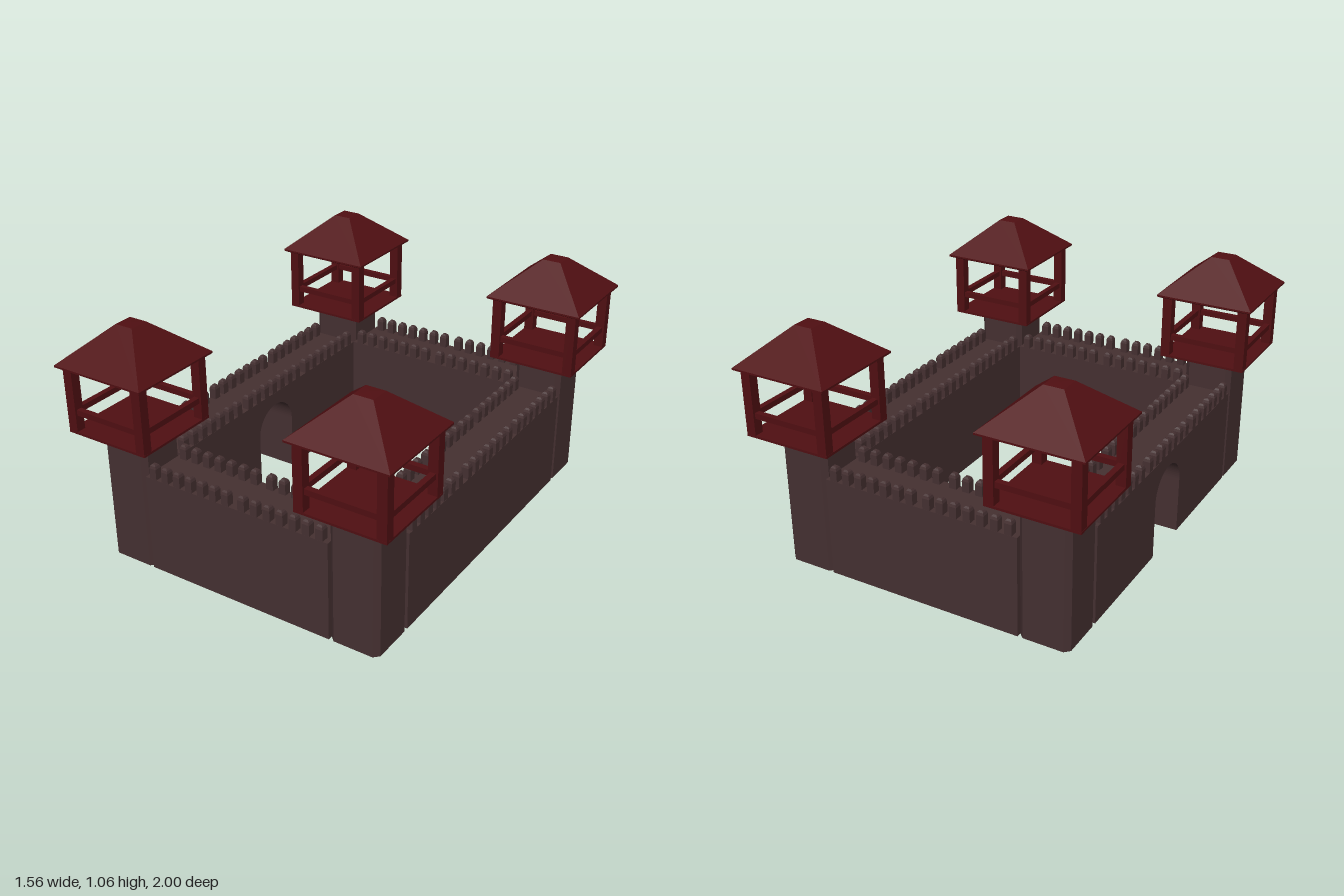
import * as THREE from 'three';
import { mergeGeometries } from 'three/addons/utils/BufferGeometryUtils.js';

const stone = new THREE.MeshStandardMaterial({ color: 0x453031, flatShading: true });
const redWood = new THREE.MeshStandardMaterial({ color: 0x500f12, flatShading: true });

const TX = 0.556, TZ = 0.778; // tower centres
const HALF = 0.111;           // half thickness of towers and walls
const WALL_H = 0.445, TOWER_H = 0.575;

function add(parent, name, geometry, material, x = 0, y = 0, z = 0) {
  const mesh = new THREE.Mesh(geometry, material);
  mesh.name = name;
  mesh.position.set(x, y, z);
  parent.add(mesh);
  return mesh;
}

// Square-plan solid from a profile of [half width, height] pairs
function squareSolid(profile) {
  const points = profile.map(([h, y]) => new THREE.Vector2(h * Math.SQRT2, y));
  return new THREE.LatheGeometry(points, 4, Math.PI / 4);
}

// Square shaft with chamfered vertical edges
function towerShaft() {
  const a = HALF, b = HALF - 0.022;
  const outline = [[a, -b], [a, b], [b, a], [-b, a], [-a, b], [-a, -b], [-b, -a], [b, -a]];
  const shape = new THREE.Shape(outline.map(([x, y]) => new THREE.Vector2(x, y)));
  return new THREE.ExtrudeGeometry(shape, { depth: TOWER_H, bevelEnabled: false }).rotateX(-Math.PI / 2);
}

// Two rows of merlons along local x, in groups of seven
function merlonRows(groups) {
  const merlon = squareSolid([
    [0, 0], [0.0165, 0], [0.0165, 0.048], [0.013, 0.059], [0.007, 0.066], [0, 0.066]]);
  const parts = [];
  for (const side of [-1, 1]) {
    for (let g = 0; g < groups; g++) {
      for (let i = -3; i <= 3; i++) {
        const x = (g - (groups - 1) / 2) * 0.445 + i * 0.061;
        parts.push(merlon.clone().translate(x, WALL_H, side * (HALF - 0.017)));
      }
    }
  }
  return mergeGeometries(parts);
}

// Wall running along local x, optionally with an arched gateway
function wall(name, length, groups, gate) {
  const group = new THREE.Group();
  group.name = name;
  const h = length / 2, r = 0.125;
  const shape = new THREE.Shape();
  shape.moveTo(-h, 0);
  if (gate) {
    shape.lineTo(-r, 0);
    shape.lineTo(-r, 0.26);
    shape.absarc(0, 0.26, r, Math.PI, 0, true);
    shape.lineTo(r, 0);
  }
  shape.lineTo(h, 0);
  shape.lineTo(h, WALL_H);
  shape.lineTo(-h, WALL_H);
  shape.closePath();
  const body = new THREE.ExtrudeGeometry(shape, { depth: HALF * 2, bevelEnabled: false, curveSegments: 20 });
  add(group, 'wallBody', body.translate(0, 0, -HALF), stone);
  add(group, 'merlons', merlonRows(groups), stone);
  return group;
}

// Tower shaft with an open lookout and hipped roof
function tower(name) {
  const group = new THREE.Group();
  group.name = name;
  add(group, 'towerShaft', towerShaft(), stone);
  add(group, 'lookoutFloor', squareSolid([
    [0, 0.57], [0.113, 0.57], [0.2, 0.603], [0.2, 0.613], [0, 0.613]]), redWood);
  add(group, 'roof', squareSolid([
    [0, 1.03], [0.195, 0.892], [0.21, 0.89], [0.222, 0.897], [0.222, 0.905],
    [0.042, 1.06], [0, 1.062]]), redWood);
  const p = 0.178;
  for (const sx of [-1, 1]) {
    for (const sz of [-1, 1]) {
      add(group, 'post', new THREE.BoxGeometry(0.043, 0.3, 0.043), redWood, sx * p, 0.755, sz * p);
    }
    add(group, 'rail', new THREE.BoxGeometry(2 * p, 0.025, 0.025), redWood, 0, 0.698, sx * p);
    add(group, 'rail', new THREE.BoxGeometry(0.025, 0.025, 2 * p), redWood, sx * p, 0.698, 0);
  }
  return group;
}

export function createModel() {
  const model = new THREE.Group();
  model.name = 'fortress';

  // Corner towers
  for (const sx of [-1, 1]) {
    for (const sz of [-1, 1]) {
      const t = tower((sz > 0 ? 'front' : 'back') + (sx > 0 ? 'Left' : 'Right') + 'Tower');
      t.position.set(sx * TX, 0, sz * TZ);
      model.add(t);
    }
  }

  // Front and back walls
  for (const s of [-1, 1]) {
    const w = wall(s > 0 ? 'frontWall' : 'backWall', 2 * (TX - HALF), 2, false);
    w.position.z = s * TZ;
    model.add(w);
  }

  // Side walls, the right one with the gateway
  for (const s of [-1, 1]) {
    const w = wall(s > 0 ? 'leftWall' : 'rightGateWall', 2 * (TZ - HALF), 3, s < 0);
    w.rotation.y = Math.PI / 2;
    w.position.x = s * TX;
    model.add(w);
  }
  return model;
}
